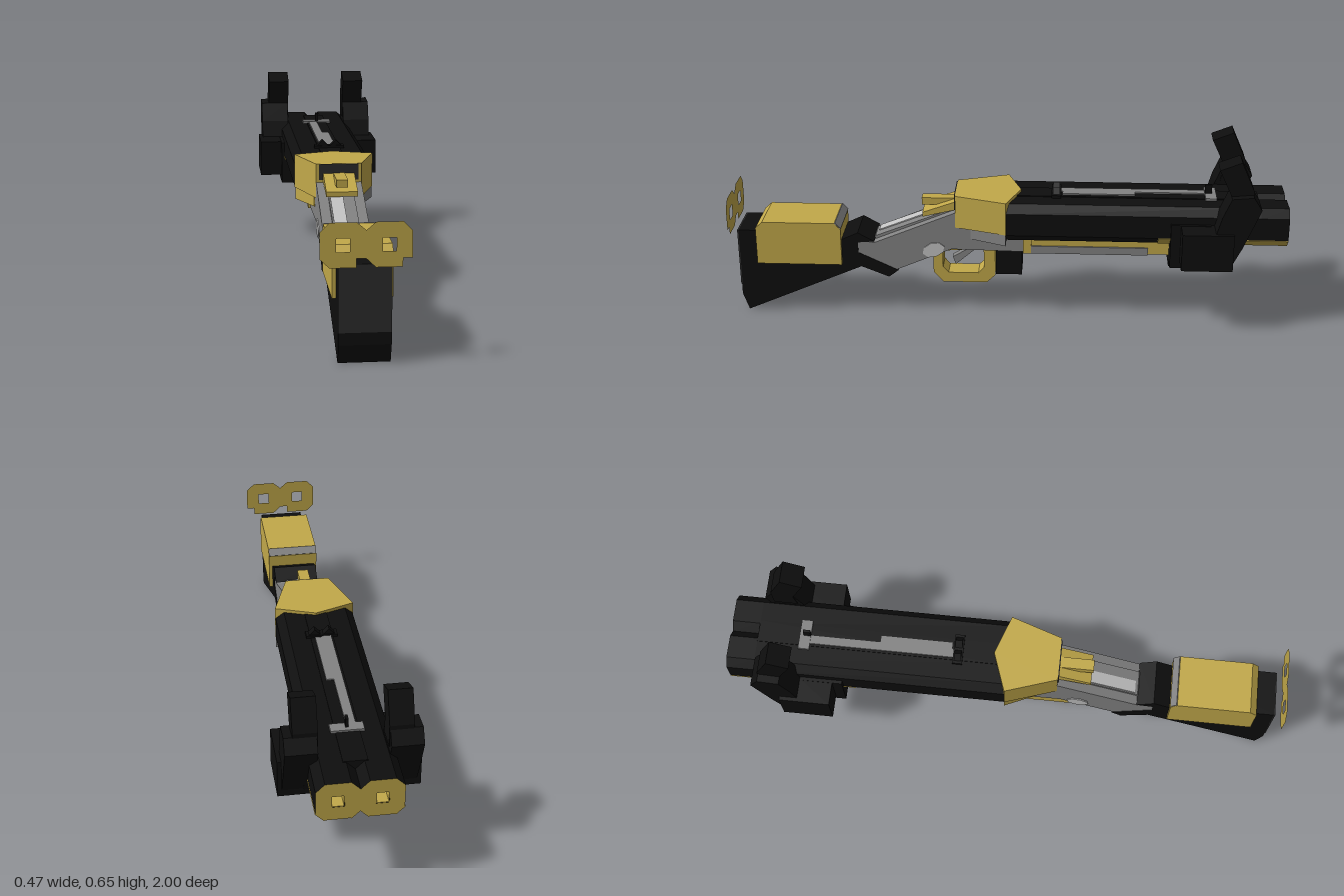
import * as THREE from 'three';

const mat = (name, color, side = THREE.FrontSide) => {
  const m = new THREE.MeshStandardMaterial({ color, side });
  m.name = name;
  return m;
};

export function createModel() {
  const group = new THREE.Group();
  const gold = mat('gold', 0xc2a94a, THREE.DoubleSide);
  const black = mat('black', 0x0e0e0e);
  const charcoal = mat('charcoal', 0x2d2d2d);
  const steel = mat('steel', 0x838383);
  const silver = mat('silver', 0xc4c4c4);

  const add = (name, geo, m) => {
    const mesh = new THREE.Mesh(geo, m);
    mesh.name = name;
    group.add(mesh);
    return mesh;
  };
  const poly = (pts, holes = []) => {
    const s = new THREE.Shape(pts.map(p => new THREE.Vector2(...p)));
    for (const h of holes) s.holes.push(new THREE.Path(h.map(p => new THREE.Vector2(...p))));
    return s;
  };
  const extrude = (s, depth) => new THREE.ExtrudeGeometry(s, { depth, bevelEnabled: false });
  // Side outline given as [z, y], spanning x0..x1
  const slab = (name, pts, x0, x1, m, holes) =>
    add(name, extrude(poly(pts, holes), x1 - x0).rotateY(-Math.PI / 2).translate(x1, 0, 0), m);
  // Box given by its ranges
  const box = (name, x0, x1, y0, y1, z0, z1, m) =>
    add(name, new THREE.BoxGeometry(x1 - x0, y1 - y0, z1 - z0)
      .translate((x0 + x1) / 2, (y0 + y1) / 2, (z0 + z1) / 2), m);
  // Plan outline given as [x, z], spanning y0..y1
  const plan = (name, pts, y0, y1, m) =>
    add(name, extrude(poly(pts.map(([x, z]) => [x, -z])), y1 - y0).rotateX(-Math.PI / 2).translate(0, y0, 0), m);
  const square = (cx, cy, r) => [[cx - r, cy - r], [cx + r, cy - r], [cx + r, cy + r], [cx - r, cy + r]];

  // Octagonal twin barrels with square bores
  const cy = 0.385;
  for (const s of [-1, 1]) {
    const cx = 0.07 * s, a = 0.07, b = 0.041;
    const oct = [[-b, -a], [b, -a], [a, -b], [a, b], [b, a], [-b, a], [-a, b], [-a, -b]]
      .map(([x, y]) => [cx + x, cy + y]);
    add('barrel', extrude(poly(oct), 0.9).translate(0, 0, -0.9), black);
    add('muzzle', extrude(poly(oct, [square(cx, cy, 0.021)]), 0.1).translate(0, 0, -1), [gold, black]);
    add('boreLining', extrude(poly(square(cx, cy, 0.021), [square(cx, cy, 0.019)]), 0.099).translate(0, 0, -0.999), gold);
    box('boreFloor', cx - 0.021, cx + 0.021, cy - 0.021, cy + 0.021, -0.905, -0.898, gold);
    // Gold inlay on the lower chamfers
    for (const t of [-1, 1]) {
      const inlay = add('barrelInlay', new THREE.BoxGeometry(0.041, 0.006, 0.459), gold);
      inlay.position.set(cx + t * 0.0555, cy - 0.0555, -0.7705);
      inlay.rotation.z = t * Math.PI / 4;
    }
  }
  box('topRib', -0.04, 0.04, 0.42, 0.458, -0.9, -0.02, black);

  // Rib inlay and sights
  box('ribInlay', -0.032, 0, 0.456, 0.463, -0.72, -0.17, steel);
  box('ribInlayWide', 0, 0.025, 0.456, 0.463, -0.46, -0.2, steel);
  box('frontSightBase', -0.055, 0.055, 0.456, 0.465, -0.75, -0.71, steel);
  box('frontSight', -0.005, 0.005, 0.455, 0.497, -0.735, -0.71, black);
  box('rearSightBase', -0.055, 0.055, 0.456, 0.466, -0.195, -0.16, black);
  for (const s of [-1, 1]) {
    add('rearSight', extrude(poly([[0.025 * s - 0.022, 0.464], [0.025 * s + 0.022, 0.464], [0.025 * s, 0.487]]), 0.025)
      .translate(0, 0, -0.19), black);
  }

  // Tapered receiver
  plan('receiver', [[0.142, 0], [0.08, 0.185], [-0.08, 0.185], [-0.142, 0], [0, -0.05]], 0.345, 0.467, gold);
  box('receiverRear', -0.07, 0.07, 0.41, 0.466, 0.184, 0.189, charcoal);
  plan('receiverFootLeft', [[0.14, 0], [0.082, 0.13], [0, 0.13], [0, 0]], 0.302, 0.345, steel);
  plan('receiverFootRight', [[-0.14, 0], [0, 0], [0, 0.13], [-0.082, 0.13]], 0.302, 0.345, gold);

  // Wrist with a raised spine
  slab('wrist', [[0.54, 0.285], [0.54, 0.24], [0.41, 0.17], [0.2, 0.26], [-0.06, 0.255], [-0.06, 0.32], [0.12, 0.34],
    [0.12, 0.405], [0.19, 0.4], [0.48, 0.28]], -0.08, 0.08, steel);
  slab('wristSpine', [[0.5, 0.26], [0.16, 0.35], [0.16, 0.418], [0.48, 0.292]], -0.045, 0.045, steel);
  slab('wristHighlight', [[0.47, 0.288], [0.19, 0.4], [0.19, 0.411], [0.47, 0.3]], -0.04, 0.005, silver);
  for (const s of [-1, 1]) {
    const medal = add('sideMedallion', new THREE.CylinderGeometry(0.042, 0.042, 0.006, 8).rotateZ(Math.PI / 2), silver);
    medal.scale.set(1, 0.65, 1);
    medal.rotation.x = 0.35;
    medal.position.set(s * 0.081, 0.256, 0.265);
  }

  // Thumb lever
  slab('leverBase', [[0.305, 0.375], [0.305, 0.392], [0.18, 0.437], [0.18, 0.405]], -0.055, 0.055, gold);
  box('lever', -0.02, 0.02, 0.408, 0.435, 0.18, 0.31, gold);

  // Trigger and guard
  slab('triggerGuard', [[0.27, 0.25], [0.27, 0.15], [0.235, 0.11], [0.075, 0.11], [0.043, 0.14], [0.043, 0.26]],
    -0.04, 0.04, gold,
    [[[0.235, 0.235], [0.235, 0.17], [0.215, 0.148], [0.105, 0.148], [0.085, 0.17], [0.085, 0.245]]]);
  slab('trigger', [[0.12, 0.265], [0.15, 0.23], [0.2, 0.2], [0.19, 0.17], [0.12, 0.23], [0.09, 0.265]],
    -0.015, 0.015, steel);

  // Forearm
  box('hingeBlock', -0.05, 0.05, 0.15, 0.265, -0.055, 0.04, black);
  box('forearmBand', -0.088, 0.088, 0.252, 0.325, -0.09, -0.06, gold);
  box('forearm', -0.08, 0.08, 0.254, 0.325, -0.59, -0.09, gold);
  for (const s of [-1, 1]) {
    box('forearmStrip', s * 0.082 - 0.004, s * 0.082 + 0.004, 0.252, 0.28, -0.51, -0.09, steel);
  }

  // Front collar with cheeks and horns
  box('collarFoot', -0.08, 0.08, 0.21, 0.28, -0.725, -0.585, black);
  box('collar', -0.152, 0.152, 0.236, 0.4, -0.725, -0.585, black);
  slab('collarRear', [[-0.6, 0.255], [-0.6, 0.35], [-0.83, 0.35], [-0.79, 0.255]], -0.15, 0.15, black);
  for (const s of [-1, 1]) {
    const side = (name, pts, a, b) => slab(name, pts, Math.min(a * s, b * s), Math.max(a * s, b * s), black);
    side('cheek', [[-0.62, 0.262], [-0.62, 0.398], [-0.8, 0.398], [-0.8, 0.262]], 0.1, 0.234);
    side('hornBase', [[-0.7, 0.265], [-0.79, 0.265], [-0.83, 0.345], [-0.89, 0.49], [-0.86, 0.537], [-0.785, 0.53],
      [-0.755, 0.46]], 0.115, 0.22);
    side('hornTip', [[-0.775, 0.47], [-0.785, 0.53], [-0.74, 0.625], [-0.815, 0.655], [-0.862, 0.55], [-0.86, 0.47]],
      0.112, 0.192);
  }

  // Shoulder stock
  slab('stock', [[0.977, 0.32], [0.977, 0.065], [0.955, 0.002], [0.53, 0.185], [0.43, 0.145], [0.395, 0.172],
    [0.54, 0.24], [0.54, 0.28], [0.48, 0.285], [0.54, 0.318], [0.6, 0.29], [0.62, 0.32]], -0.082, 0.082, black);
  box('buttPlate', -0.082, 0.082, 0.105, 0.32, 0.975, 0.98, charcoal);
  slab('stockWrap', [[0.91, 0.195], [0.91, 0.335], [0.885, 0.358], [0.622, 0.358], [0.6, 0.335], [0.6, 0.195]],
    -0.095, 0.095, gold);
  const trim = box('wrapTrim', -0.094, 0.094, -0.002, 0.002, -0.015, 0.015, steel);
  trim.position.set(0, 0.348, 0.61);
  trim.rotation.x = -0.81;

  // Loose twin-hole plate behind the stock
  add('rearPlate', new THREE.ShapeGeometry(poly([
    [-0.111, 0.315], [-0.029, 0.315], [-0.029, 0.343], [0, 0.343], [0.029, 0.315], [0.111, 0.315], [0.111, 0.343],
    [0.14, 0.343], [0.14, 0.426], [0.111, 0.455], [0.029, 0.455], [0, 0.43], [-0.029, 0.455], [-0.111, 0.455],
    [-0.14, 0.426], [-0.14, 0.343]], [square(-0.07, cy, 0.021), square(0.07, cy, 0.021)])).translate(0, 0, 1), gold);

  return group;
}
